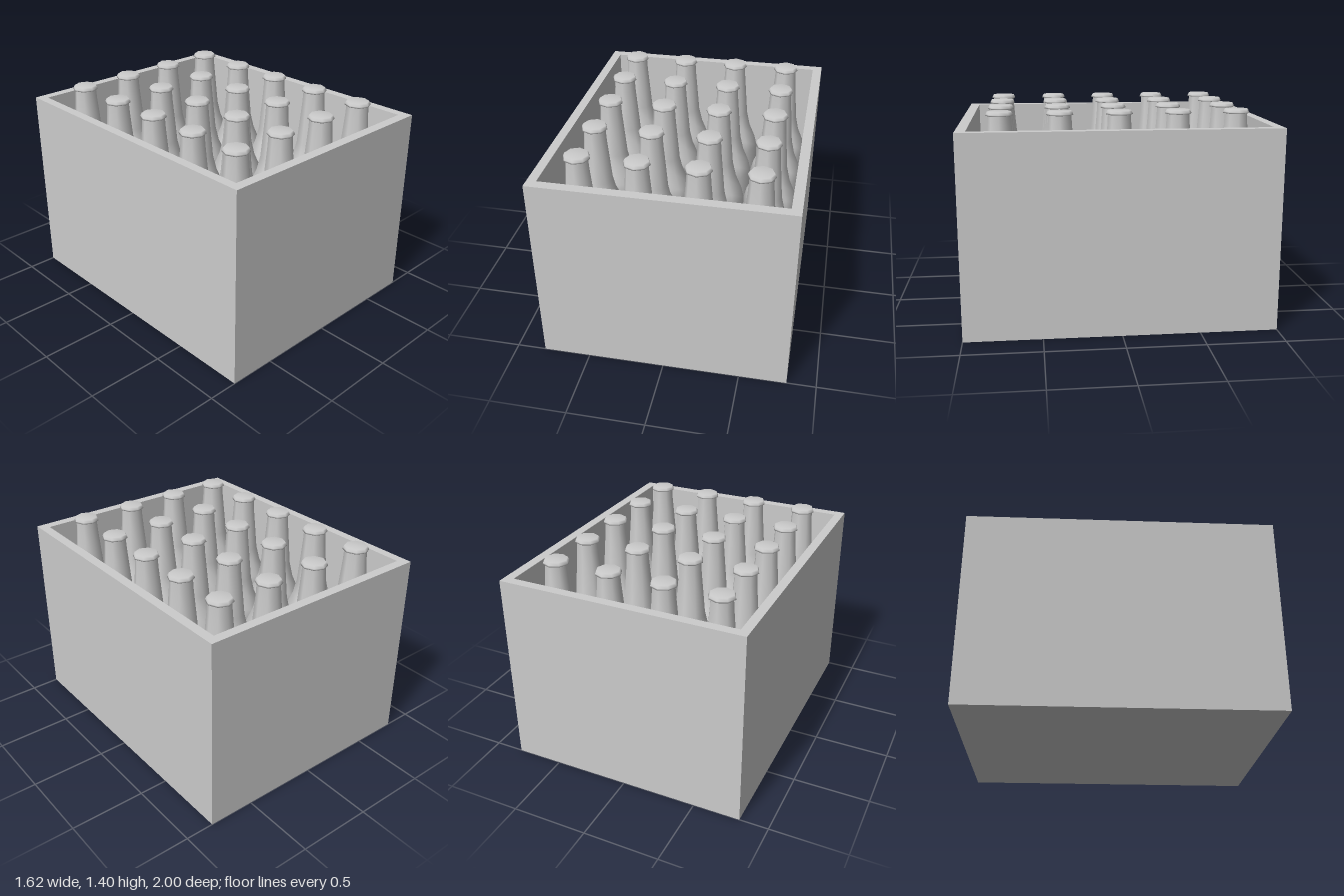
import * as THREE from 'three';

const material = new THREE.MeshStandardMaterial({ color: 0xcccccc });
const SIDES = 8;

function lathe(name, profile) {
  const points = profile.map(([r, y]) => new THREE.Vector2(r, y));
  const mesh = new THREE.Mesh(new THREE.LatheGeometry(points, SIDES), material);
  mesh.name = name;
  return mesh;
}

function makeCrate() {
  const crate = new THREE.Group();
  crate.name = 'crate';
  const height = 1.305, floorHeight = 0.06;

  // Walls: rectangular frame extruded upward
  const frame = new THREE.Shape([
    [-0.81, -1], [0.81, -1], [0.81, 1], [-0.81, 1],
  ].map(([x, y]) => new THREE.Vector2(x, y)));
  frame.holes.push(new THREE.Path([
    [-0.75, -0.935], [-0.75, 0.938], [0.747, 0.938], [0.747, -0.935],
  ].map(([x, y]) => new THREE.Vector2(x, y))));
  const wallGeometry = new THREE.ExtrudeGeometry(frame, { depth: height, bevelEnabled: false });
  wallGeometry.rotateX(-Math.PI / 2);
  const walls = new THREE.Mesh(wallGeometry, material);
  walls.name = 'crateWalls';

  // Floor fills the frame opening
  const floor = new THREE.Mesh(new THREE.BoxGeometry(1.497, floorHeight, 1.873), material);
  floor.name = 'crateFloor';
  floor.position.set(-0.0015, floorHeight / 2, -0.0015);

  crate.add(walls, floor);
  return crate;
}

function makeBottle() {
  const bottle = new THREE.Group();
  bottle.name = 'bottle';
  // Body, shoulder and tapering neck in one smooth profile
  bottle.add(lathe('bottleGlass', [
    [0, 0.061], [0.187, 0.061], [0.187, 0.72], [0.168, 0.8],
    [0.125, 0.9], [0.102, 1.0], [0.076, 1.3], [0.072, 1.38],
  ]));
  // Flared cap
  bottle.add(lathe('bottleCap', [
    [0.07, 1.374], [0.085, 1.374], [0.083, 1.383], [0.074, 1.4], [0, 1.4],
  ]));
  return bottle;
}

export function createModel() {
  const model = new THREE.Group();
  model.name = 'bottleCrate';
  model.add(makeCrate());

  // Four by five bottles, touching side by side
  const pitch = 0.372;
  const bottle = makeBottle();
  for (let row = 0; row < 5; row++) {
    for (let column = 0; column < 4; column++) {
      const copy = bottle.clone();
      copy.position.set((column - 1.5) * pitch - 0.002, 0, (row - 2) * pitch - 0.004);
      model.add(copy);
    }
  }
  return model;
}
